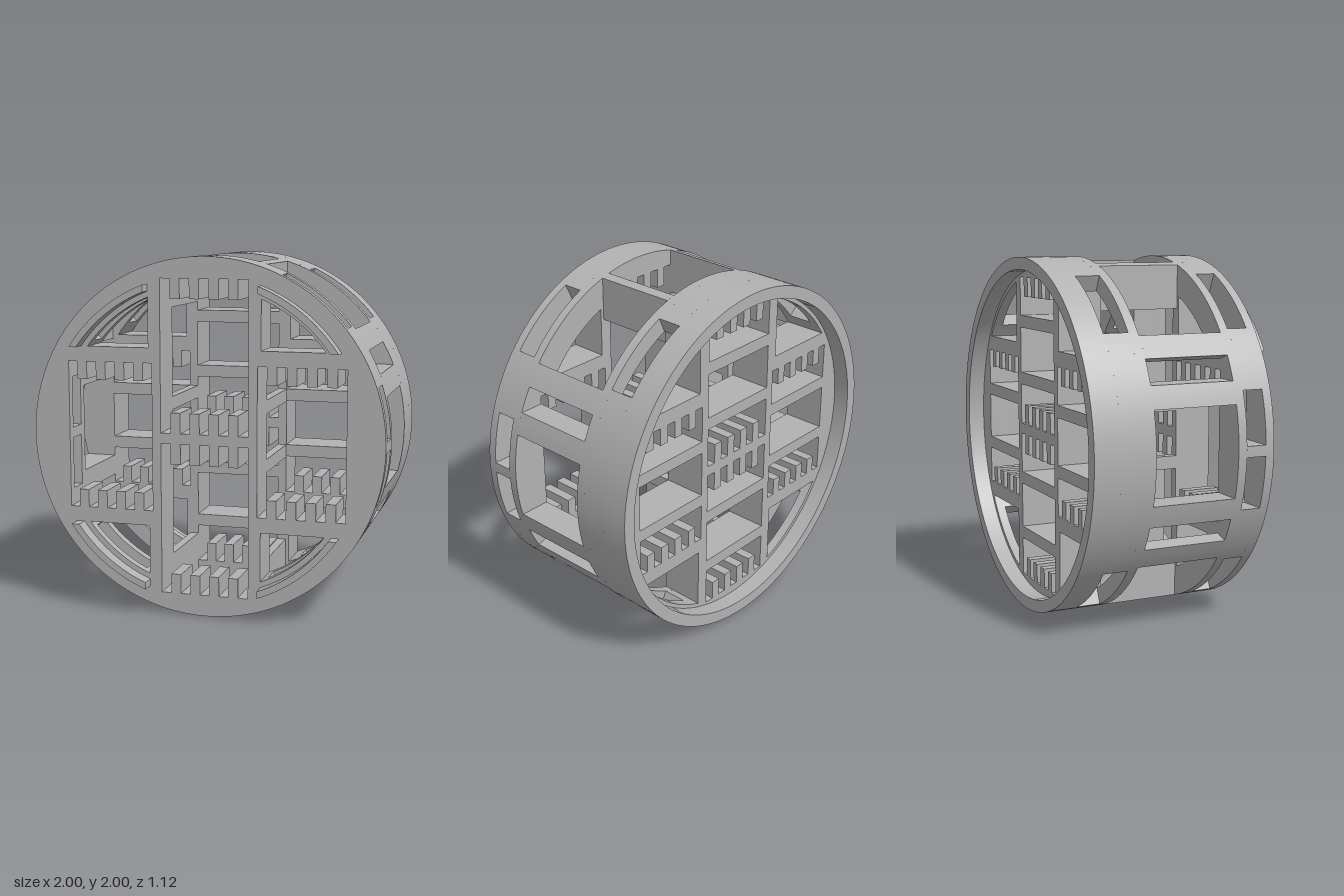
import * as THREE from 'three';
import { toCreasedNormals } from 'three/addons/utils/BufferGeometryUtils.js';

const QUADRANTS = [[1, 1], [-1, 1], [-1, -1], [1, -1]];
const DEG = Math.PI / 180;
const FRONT_R = 0.84, BACK_R = 0.907; // arc radius of the corner openings

export function createModel() {
  const model = new THREE.Group();
  const drum = new THREE.Group(); // drum axis runs along z through its origin
  drum.name = 'drum';
  drum.position.y = 1;
  model.add(drum);
  const grey = new THREE.MeshStandardMaterial({ color: 0xb2b2b2 });
  grey.name = 'plain grey';

  // Points on an arc, angles in radians
  const arc = (r, a, b) => {
    const n = Math.max(3, Math.ceil(Math.abs(b - a) / (2 * DEG)));
    return Array.from({ length: n + 1 }, (_, i) => {
      const t = a + (b - a) * i / n;
      return [r * Math.cos(t), r * Math.sin(t)];
    });
  };
  const rect = (x0, x1, y0, y1) => [[x0, y0], [x1, y0], [x1, y1], [x0, y1]];
  const flip = (pts, [sx, sy]) => pts.map(([x, y]) => [x * sx, y * sy]);
  const vectors = pts => pts
    .filter(([x, y], i) => {
      const q = pts[(i + pts.length - 1) % pts.length];
      return Math.hypot(x - q[0], y - q[1]) > 1e-5;
    })
    .map(([x, y]) => new THREE.Vector2(x, y));

  function slab(name, pts, z0, z1, holes = []) {
    const shape = new THREE.Shape(vectors(pts));
    holes.forEach(h => shape.holes.push(new THREE.Path(vectors(h))));
    let geo = new THREE.ExtrudeGeometry(shape, { depth: z1 - z0, bevelEnabled: false });
    geo.translate(0, 0, z0);
    const mesh = new THREE.Mesh(toCreasedNormals(geo, 0.4), grey);
    mesh.name = name;
    drum.add(mesh);
  }
  function box(name, x0, x1, y0, y1, z0, z1) {
    const geo = new THREE.BoxGeometry(x1 - x0, y1 - y0, z1 - z0);
    const mesh = new THREE.Mesh(geo, grey);
    mesh.name = name;
    mesh.position.set((x0 + x1) / 2, (y0 + y1) / 2, (z0 + z1) / 2);
    drum.add(mesh);
  }

  // Openings of the two grids
  const circle = arc(1, 0, 2 * Math.PI);
  const centreHoles = [rect(-0.25, 0.25, 0.03, 0.88), rect(-0.25, 0.25, -0.88, -0.03)];
  const sideHoles = [rect(0.3, 0.79, -0.415, 0.415), rect(-0.79, -0.3, -0.415, 0.415)];
  const cornerHole = r => [[0.32, 0.5], ...arc(r, Math.asin(0.5 / r), Math.acos(0.32 / r))];
  const allHoles = r => [...centreHoles, ...sideHoles,
    ...QUADRANTS.map(q => flip(cornerHole(r), q))];

  // Outline of a slotted layer: slots join the corner (and side) openings to the outside
  function slottedOutline(r, sideSlots) {
    const start = sideSlots ? Math.asin(0.32) : 0;
    const quarter = [
      ...(sideSlots ? [[0.3, 0], [0.3, 0.415], [0.79, 0.415], [0.79, 0.32]] : []),
      ...arc(1, start, 39 * DEG),
      ...arc(r, 39 * DEG, Math.asin(0.5 / r)),
      [0.32, 0.5],
      ...arc(r, Math.acos(0.32 / r), 65 * DEG),
      ...arc(1, 65 * DEG, 90 * DEG),
    ];
    return QUADRANTS.flatMap((q, i) => {
      const pts = flip(quarter, q);
      return i % 2 ? pts.reverse() : pts;
    });
  }

  // Front grid, in three layers, with dividers between the side slots
  slab('frontGridInnerLayer', circle, 0.265, 0.315, allHoles(FRONT_R));
  slab('frontGridSlottedLayer', slottedOutline(FRONT_R, true), 0.315, 0.43, centreHoles);
  slab('frontGridOuterLayer', circle, 0.43, 0.48, allHoles(FRONT_R));
  const d = Math.asin(0.03);
  for (const s of [1, -1]) {
    slab('slotDivider', flip([[0.79, -0.03], ...arc(1, -d, d), [0.79, 0.03]], [s, 1]), 0.315, 0.43);
  }

  // Back grid, in three layers, and the raised back rim
  slab('backGridInnerLayer', circle, -0.27, -0.215, allHoles(BACK_R));
  slab('backGridSlottedLayer', slottedOutline(BACK_R, false), -0.41, -0.27,
    [...centreHoles, ...sideHoles]);
  slab('backGridOuterLayer', circle, -0.465, -0.41, allHoles(BACK_R));
  slab('backRim', circle, -0.56, -0.465, [arc(0.93, 0, 2 * Math.PI)]);

  // Rows of four teeth in both grids
  const rows = [[0, 0.77, 0.88], [0, 0.03, 0.145], [0.545, 0.315, 0.415], [-0.545, 0.315, 0.415]];
  for (const [z0, z1] of [[0.265, 0.48], [-0.465, -0.215]]) {
    for (const [cx, y0, y1] of rows) {
      for (let i = 0; i < 4; i++) {
        const x = cx + (i - 1.5) * 0.11;
        box('tooth', x - 0.028, x + 0.028, y0, y1, z0, z1);
        box('tooth', x - 0.028, x + 0.028, -y1, -y0, z0, z1);
      }
    }
  }

  // Cross bars of the back grid
  for (const s of [1, -1]) {
    for (const y of [0.295, 0.625]) {
      box('centreCrossBar', -0.25, 0.25, s * y - 0.035, s * y + 0.035, -0.465, -0.215);
    }
    for (const y of [0.17, -0.165]) {
      const x = s * 0.545;
      box('sideCrossBar', x - 0.245, x + 0.245, y - 0.035, y + 0.035, -0.465, -0.215);
    }
  }

  // Connectors between the grids, and the raised arcs on the front
  const upperRib = [[0.79, 0.475], ...arc(1, 30 * DEG, Math.acos(0.79))];
  const lowerRib = [[0.79, 0.25], ...arc(1, Math.asin(0.25), Math.asin(0.37)), [0.79, 0.37]];
  const plate = [[0.25, 0.71], [0.3, 0.71], ...arc(1, Math.acos(0.3), Math.acos(0.25))];
  const ridge = [
    ...arc(0.907, Math.asin(0.5 / 0.907), Math.acos(0.32 / 0.907)),
    ...arc(0.87, Math.acos(0.32 / 0.87), Math.asin(0.5 / 0.87)),
  ];
  for (const q of QUADRANTS) {
    slab('upperShellRib', flip(upperRib, q), -0.215, 0.265);
    slab('lowerShellRib', flip(lowerRib, q), -0.215, 0.265);
    slab('connectingPlate', flip(plate, q), -0.215, 0.265);
    slab('connectingStrut', flip(rect(0.25, 0.3, 0.13, 0.205), q), -0.215, 0.265);
    slab('frontRidge', flip(ridge, q), 0.48, 0.56);
  }

  return model;
}
